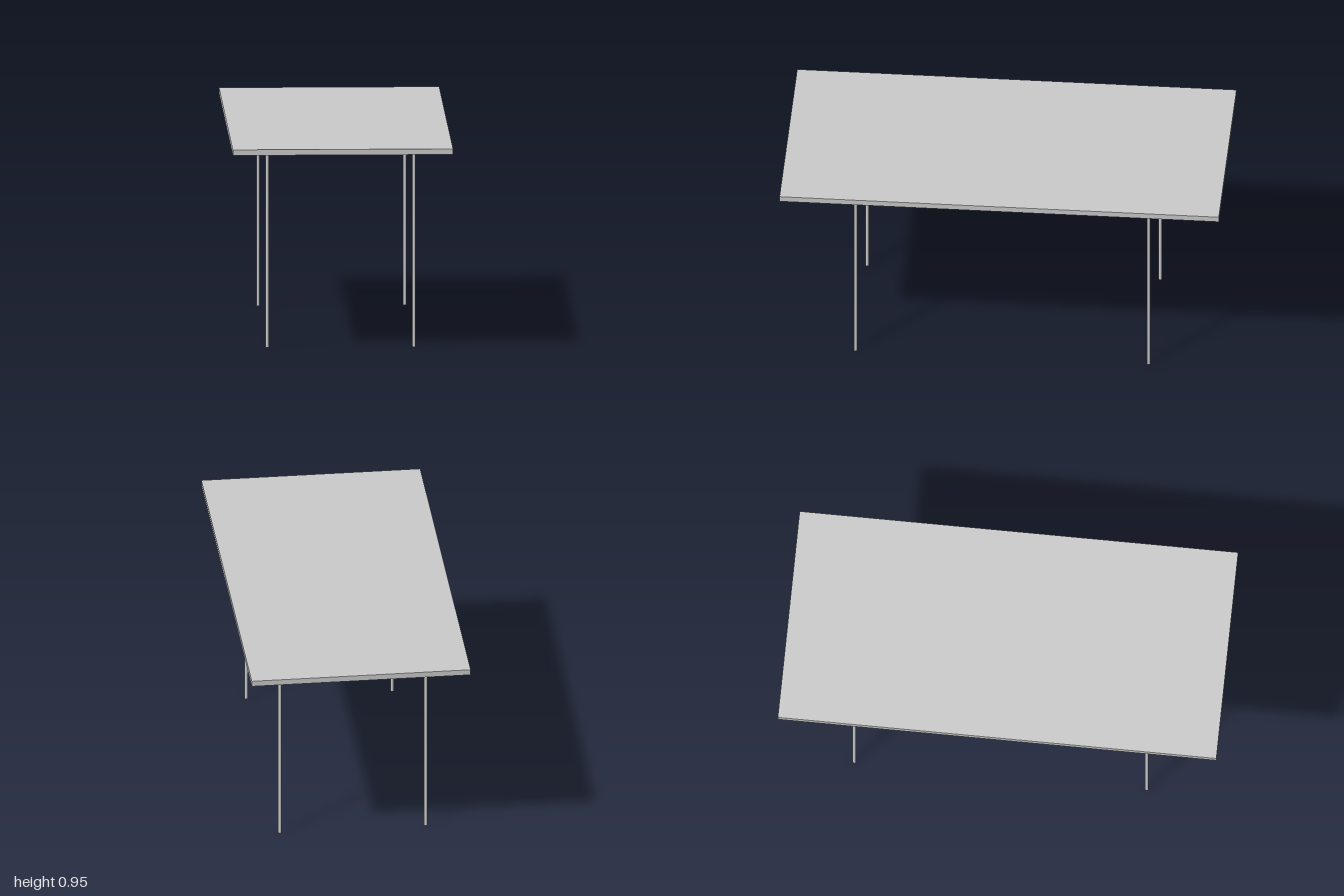
import * as THREE from 'three';

export function createModel() {
  const group = new THREE.Group();
  const material = new THREE.MeshStandardMaterial({ color: 0xcccccc });
  const add = (name, geometry, x, y, z, parent = group) => {
    const mesh = new THREE.Mesh(geometry, material);
    mesh.name = name;
    mesh.position.set(x, y, z);
    parent.add(mesh);
  };

  // Thin rectangular top
  const underside = 0.927, thickness = 0.026;
  add('tableTop', new THREE.BoxGeometry(1, thickness, 2), 0, underside + thickness / 2, 0);

  // Four slender round legs, each fixed under the top by a small plate
  const plateHeight = 0.006, legHeight = underside - plateHeight;
  const legGeometry = new THREE.CylinderGeometry(0.008, 0.008, legHeight, 24);
  const plateGeometry = new THREE.CylinderGeometry(0.015, 0.014, plateHeight, 24);
  for (const [sideName, x] of [['Left', 0.333], ['Right', -0.333]]) {
    for (const [endName, z] of [['front', 0.667], ['back', -0.667]]) {
      const leg = new THREE.Group();
      leg.name = `${endName}${sideName}Leg`;
      leg.position.set(x, 0, z);
      add('legTube', legGeometry, 0, legHeight / 2, 0, leg);
      add('mountingPlate', plateGeometry, 0, legHeight + plateHeight / 2, 0, leg);
      group.add(leg);
    }
  }
  return group;
}
